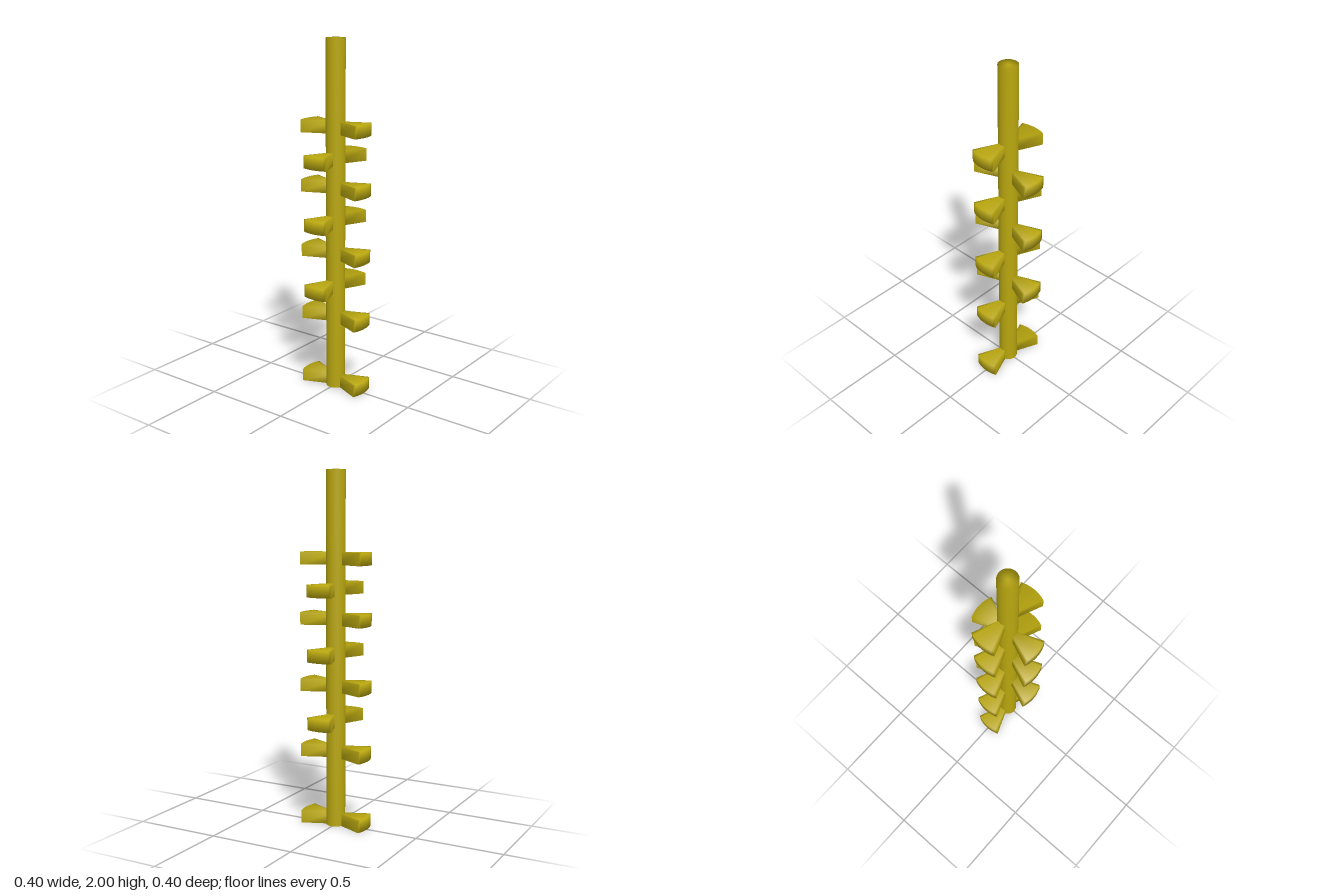
import * as THREE from 'three';
import { mergeVertices } from 'three/addons/utils/BufferGeometryUtils.js';

const SHAFT_RADIUS = 0.054;
const BLADE_RADIUS = 0.2;
const BLADE_HEIGHT = 0.07;
const HALF_ANGLE = 0.392;
const TWIST = -0.015;
const ARC_STEPS = 10;

// Shaft with shared vertices, so its shading runs smoothly over the rims.
function shaftGeometry() {
  const geometry = new THREE.CylinderGeometry(SHAFT_RADIUS, SHAFT_RADIUS, 1.998, 40);
  geometry.deleteAttribute('normal');
  geometry.deleteAttribute('uv');
  const merged = mergeVertices(geometry, 1e-5);
  merged.computeVertexNormals();
  return merged;
}

// Flat wedge from the axis out to an arc, pointing to -z, standing on y = 0.
function bladeGeometry() {
  // Outline, anticlockwise seen from above: the axis, then the arc
  const outline = [[0, 0]];
  for (let i = 0; i <= ARC_STEPS; i++) {
    const angle = HALF_ANGLE * (1 - 2 * i / ARC_STEPS);
    outline.push([BLADE_RADIUS * Math.sin(angle), -BLADE_RADIUS * Math.cos(angle)]);
  }
  const count = outline.length;
  const positions = [];
  for (const y of [0, BLADE_HEIGHT]) {
    for (const [x, z] of outline) positions.push(x, y, z);
  }

  const indices = [];
  for (let i = 0; i < count; i++) {
    const next = (i + 1) % count;
    // Side wall
    indices.push(i, next, count + next, i, count + next, count + i);
    // Bottom and top fans around the axis
    if (i > 0 && next > 0) {
      indices.push(0, next, i, count, count + i, count + next);
    }
  }

  const geometry = new THREE.BufferGeometry();
  geometry.setAttribute('position', new THREE.Float32BufferAttribute(positions, 3));
  geometry.setIndex(indices);
  geometry.computeVertexNormals();
  return geometry;
}

export function createModel() {
  const model = new THREE.Group();
  model.name = 'paddleShaft';
  const material = new THREE.MeshStandardMaterial({ color: 0xb8a60f });

  // Central shaft
  const shaft = new THREE.Mesh(shaftGeometry(), material);
  shaft.name = 'shaft';
  shaft.position.y = 1.001;
  model.add(shaft);

  // Opposed blade pairs, alternating front-back and left-right up the shaft
  const blade = bladeGeometry();
  const addPair = (y, turn, name) => {
    const pair = new THREE.Group();
    pair.name = name;
    pair.position.y = y;
    pair.rotation.y = turn + TWIST;
    for (const angle of [0, Math.PI]) {
      const mesh = new THREE.Mesh(blade, material);
      mesh.name = 'blade';
      mesh.rotation.y = angle;
      pair.add(mesh);
    }
    model.add(pair);
  };
  [0, 0.394, 0.772, 1.149, 1.484].forEach((y) => addPair(y, 0, 'frontBackBlades'));
  [0.582, 0.96, 1.315].forEach((y) => addPair(y, Math.PI / 2, 'leftRightBlades'));

  return model;
}
